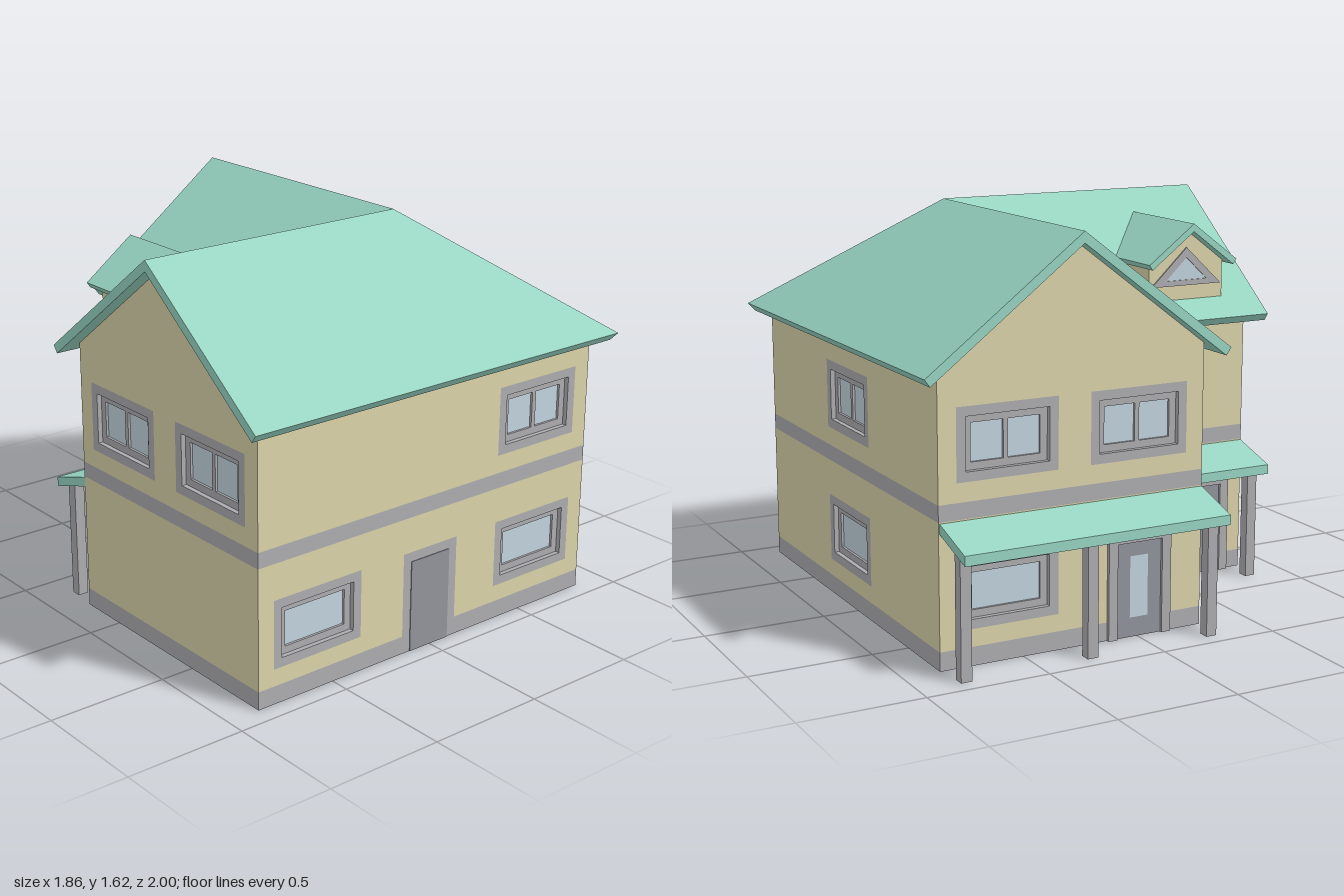
import * as THREE from 'three';

const mat = (color, side = THREE.FrontSide) => new THREE.MeshStandardMaterial({ color, side });
const MAT = {
  roof: mat(0x98d5c2), wall: mat(0xdad3aa, THREE.DoubleSide), trim: mat(0xadadb1),
  door: mat(0x92949c), glass: mat(0xc2d3de),
};
const TOP = 1.145, APEX = 1.575;               // wall height, gable peak
const BANDS = [[0, 0.075, 'foundation'], [0.075, 0.575, 'lowerWall'],
  [0.575, 0.64, 'floorBand'], [0.64, TOP, 'upperWall']];

function add(parent, name, geo, material, x = 0, y = 0, z = 0) {
  const m = new THREE.Mesh(geo, material);
  m.name = name;
  m.position.set(x, y, z);
  parent.add(m);
  return m;
}
const shapeOf = (pts) => new THREE.Shape(pts.map(([x, y]) => new THREE.Vector2(x, y)));
const rectPts = (x0, y0, x1, y1) => [[x0, y0], [x1, y0], [x1, y1], [x0, y1]];
const extrude = (shape, depth) => new THREE.ExtrudeGeometry(shape, { depth, bevelEnabled: false });
function rect(parent, name, x0, y0, x1, y1, material, z = 0) {
  if (x1 - x0 < 1e-4 || y1 - y0 < 1e-4) return;
  add(parent, name, new THREE.PlaneGeometry(x1 - x0, y1 - y0), material, (x0 + x1) / 2, (y0 + y1) / 2, z);
}
// Flat-sided solid from lists of corner points
function faces(polys) {
  const pos = [];
  for (const p of polys)
    for (let i = 1; i < p.length - 1; i++) pos.push(...p[0], ...p[i], ...p[i + 1]);
  const g = new THREE.BufferGeometry();
  g.setAttribute('position', new THREE.Float32BufferAttribute(pos, 3));
  g.computeVertexNormals();
  return g;
}

// Window: flush surround, recessed sash and one or two panes
function addWindow(parent, { x0, y0, x1, y1, panes }) {
  const g = new THREE.Group();
  g.name = 'window';
  parent.add(g);
  const b = 0.038, s = 0.03, bar = 0.02;
  const [a, c, d, e] = [x0 + b, y0 + b, x1 - b, y1 - b];
  const surround = shapeOf(rectPts(x0, y0, x1, y1));
  surround.holes.push(shapeOf(rectPts(a, c, d, e)));
  add(g, 'windowSurround', extrude(surround, 0.03), MAT.trim, 0, 0, -0.03);
  const sash = shapeOf(rectPts(a, c, d, e));
  const w = (d - a - 2 * s - (panes - 1) * bar) / panes;
  for (let i = 0; i < panes; i++) {
    const px = a + s + i * (w + bar);
    sash.holes.push(shapeOf(rectPts(px, c + s, px + w, e - s)));
  }
  add(g, 'windowSash', extrude(sash, 0.012), MAT.trim, 0, 0, -0.032);
  rect(g, 'windowGlass', a, c, d, e, MAT.glass, -0.03);
}

// Door: surround open at the foot, panel, optional pane
function addDoor(parent, { x0, x1, y1, proud, pane }) {
  const g = new THREE.Group();
  g.name = 'door';
  parent.add(g);
  const b = 0.04, a = x0 + b, d = x1 - b, h = y1 - b;
  const frame = shapeOf([[x0, 0], [a, 0], [a, h], [d, h], [d, 0], [x1, 0], [x1, y1], [x0, y1]]);
  add(g, 'doorSurround', extrude(frame, 0.03 + proud), MAT.trim, 0, 0, -0.03);
  const front = 0.003;
  add(g, 'doorPanel', new THREE.BoxGeometry(d - a, h, 0.03), MAT.door, (a + d) / 2, h / 2, front - 0.015);
  if (pane) rect(g, 'doorPane', ...pane, MAT.glass, front + 0.002);
}

// One façade, drawn in its own plane: u to the viewer's right, outward +z
function addWall(house, name, pos, turn, u0, u1, openings = [], gable = false) {
  const g = new THREE.Group();
  g.name = name;
  g.position.set(...pos);
  g.rotation.y = turn * Math.PI / 2;
  house.add(g);
  BANDS.forEach(([b0, b1, part], i) => {
    const m = i % 2 ? MAT.wall : MAT.trim;
    let u = u0;
    openings.filter((o) => o.y0 < b1 && o.y1 > b0).sort((p, q) => p.x0 - q.x0).forEach((o) => {
      rect(g, part, u, b0, o.x0, b1, m);
      rect(g, part, o.x0, b0, o.x1, o.y0, m);
      rect(g, part, o.x0, o.y1, o.x1, b1, m);
      u = o.x1;
    });
    rect(g, part, u, b0, u1, b1, m);
  });
  if (gable)
    add(g, 'gable', new THREE.ShapeGeometry(shapeOf([[u0, TOP], [u1, TOP], [(u0 + u1) / 2, APEX]])), MAT.wall);
  openings.forEach((o) => (o.panes ? addWindow(g, o) : addDoor(g, o)));
}
const upper = (x0, w = 0.425) => ({ x0, x1: x0 + w, y0: 0.715, y1: 1.0, panes: 2 });
const lower = (x0, w = 0.425) => ({ x0, x1: x0 + w, y0: 0.145, y1: 0.427, panes: 1 });
const door = (x0, x1, proud, pane) => ({ x0, x1, y0: 0, y1: 0.427, proud, pane });

// Lean-to porch against a back wall
function addPorch(house, x0, x1, zWall, posts) {
  const g = new THREE.Group();
  g.name = 'porch';
  g.position.z = zWall;
  house.add(g);
  const roof = extrude(shapeOf([[0, 0.53], [0.21, 0.465], [0.21, 0.505], [0, 0.57]]), x1 - x0);
  roof.rotateY(Math.PI / 2);
  add(g, 'porchRoof', roof, MAT.roof, x0);
  for (const x of posts)
    add(g, 'porchPost', new THREE.BoxGeometry(0.045, 0.495, 0.045), MAT.trim, x, 0.2475, -0.122);
}

// Cross-gabled roof with one hip and one valley
function addRoof(house) {
  const ring = (e, y, top) => [
    [-0.93, y, 1 - e], [0.93 - e, y, 1 - e], [0.93 - e, y, -0.86], [0.28, top, -0.86],
    [-0.37 + e, y, -0.86], [-0.37 + e, y, -0.3 + e], [-0.93, y, -0.3 + e], [-0.93, top, 0.35]];
  const slopes = (r, peak) => [
    [r[0], r[1], peak, r[7]], [r[1], r[2], r[3], peak],
    [r[4], r[5], peak, r[3]], [r[5], r[6], r[7], peak]];
  const t = ring(0, 1.13, 1.62), b = ring(0.022, 1.1, APEX);
  const edges = t.map((p, i) => [b[i], b[(i + 1) % 8], t[(i + 1) % 8], p]);
  const under = slopes(b, [0.28, APEX, 0.35]).map((p) => p.reverse());
  add(house, 'mainRoof', faces([...slopes(t, [0.28, 1.62, 0.35]), ...under, ...edges]), MAT.roof);
}

// Gabled dormer with a triangular window
function addDormer(house) {
  const g = new THREE.Group();
  g.name = 'dormer';
  g.position.x = -0.577;
  house.add(g);
  const body = shapeOf([[-0.18, 1.18], [0.18, 1.18], [0.18, 1.368], [0, 1.503], [-0.18, 1.368]]);
  add(g, 'dormerWalls', extrude(body, 0.24), MAT.wall, 0, 0, -0.2);
  const roof = shapeOf([[-0.213, 1.37], [-0.198, 1.348], [0, 1.497], [0.198, 1.348], [0.213, 1.37], [0, 1.53]]);
  add(g, 'dormerRoof', extrude(roof, 0.488), MAT.roof, 0, 0, -0.26);
  const tri = (w, y, h) => [[-w, y], [w, y], [0, h]];
  const frame = shapeOf(tri(0.17, 1.265, 1.425));
  frame.holes.push(shapeOf(tri(0.1, 1.288, 1.383)));
  add(g, 'dormerWindowFrame', extrude(frame, 0.02), MAT.trim, 0, 0, -0.206);
  add(g, 'dormerGlass', extrude(shapeOf(tri(0.11, 1.283, 1.388)), 0.01), MAT.glass, 0, 0, -0.202);
}

export function createModel() {
  const house = new THREE.Group();
  house.name = 'house';

  addWall(house, 'frontWall', [0, 0, 0.92], 0, -0.86, 0.85,
    [upper(0.35), lower(0.35), lower(-0.787), door(-0.145, 0.135, 0)]);
  addWall(house, 'rightWall', [0.85, 0, 0], 1, -0.92, 0.79, [upper(-0.28), lower(-0.28)]);
  addWall(house, 'backWall', [0, 0, -0.79], 2, -0.85, 0.29,
    [upper(-0.775), upper(-0.21), lower(-0.775), door(-0.135, 0.145, 0.015, [-0.035, 0.08, 0.045, 0.33])], true);
  addWall(house, 'innerWall', [-0.29, 0, 0], -1, -0.79, -0.22);
  addWall(house, 'wingBackWall', [0, 0, -0.22], 2, 0.29, 0.86,
    [door(0.36, 0.79, 0.015, [0.45, 0.29, 0.7, 0.35])]);
  addWall(house, 'leftWall', [-0.86, 0, 0], -1, -0.22, 0.92, [upper(-0.145), upper(0.42)], true);

  // Underside of the L-shaped plan
  const plan = new THREE.ShapeGeometry(shapeOf([[-0.86, 0.92], [-0.86, -0.22], [-0.29, -0.22],
    [-0.29, -0.79], [0.85, -0.79], [0.85, 0.92]]));
  add(house, 'floor', plan.rotateX(Math.PI / 2), MAT.trim);

  addRoof(house);
  addDormer(house);
  addPorch(house, -0.29, 0.845, -0.79, [0.81, 0.278, -0.255]);
  addPorch(house, -0.86, -0.29, -0.22, [-0.825, -0.325]);
  return house;
}
